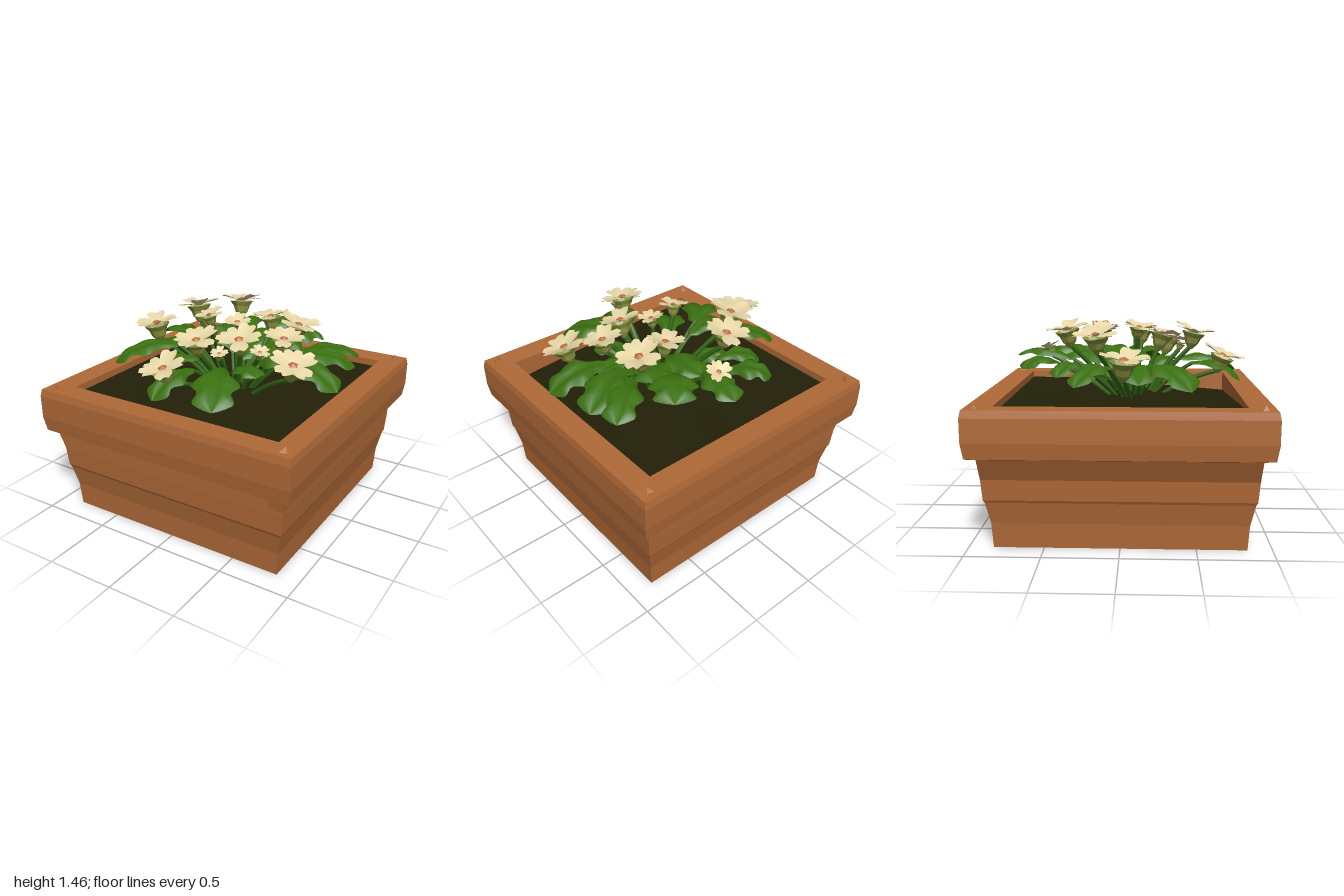
import * as THREE from 'three';

const paint = (name, color, double) => {
  const m = new THREE.MeshStandardMaterial({ color });
  m.name = name;
  if (double) m.side = THREE.DoubleSide;
  return m;
};

export function createModel() {
  const terracotta = paint('terracotta', 0xb06a38);
  const soilBrown = paint('soil', 0x222008);
  const leafGreen = paint('leaf green', 0x3b7010, true);
  const stemGreen = paint('stem green', 0x336812);
  const cream = paint('petal cream', 0xeadaaa, true);
  const olive = paint('calyx olive', 0x8e9842, true);
  const amber = paint('flower centre', 0xc0703c);

  const model = new THREE.Group();
  model.name = 'flowerPlanter';
  const add = (parent, name, geometry, material) => {
    const mesh = new THREE.Mesh(geometry, material);
    mesh.name = name;
    parent.add(mesh);
    return mesh;
  };
  const flat = (g) => {
    const f = g.toNonIndexed();
    f.computeVertexNormals();
    return f;
  };

  // Curved sheet: point(s, t) with s from -1 to 1 across and t from 0 to 1 along
  const sheet = (cols, rows, point) => {
    const g = new THREE.PlaneGeometry(2, 1, cols, rows);
    const p = g.attributes.position;
    for (let i = 0; i < p.count; i++) {
      const v = point(p.getX(i), p.getY(i) + 0.5);
      p.setXYZ(i, v[0], v[1], v[2]);
    }
    g.computeVertexNormals();
    return g;
  };

  // Square pot: half-width and height of each ring
  const profile = [
    [0, 0], [0.835, 0], [0.845, 0.17], [0.875, 0.32], [0.885, 0.34], [0.895, 0.48], [0.9, 0.63],
    [0.975, 0.635], [0.99, 0.74], [0.99, 0.9], [0.98, 0.95], [0.815, 0.945], [0.815, 0.76],
  ].map(([w, y]) => new THREE.Vector2(w * Math.SQRT2, y));
  const pot = new THREE.LatheGeometry(profile, 4);
  pot.rotateY(Math.PI / 4);
  // The wall on one side flares out to meet the rim
  const ring = pot.attributes.position;
  for (let i = 0; i < ring.count; i++) {
    if (ring.getX(i) < -0.8 && Math.abs(ring.getY(i) - 0.63) < 0.002) ring.setX(i, -0.965);
  }
  add(model, 'pot', flat(pot), terracotta);

  // Uneven soil surface, sinking towards the front left corner
  const soil = sheet(16, 16, (s, t) => {
    const z = 2 * t - 1;
    const dip = Math.max(0, (s + z) / 2 - 0.2);
    const ripple = 0.015 * (1 - s * s) * (1 - z * z) * Math.sin(5 * s + 3 * z);
    return [s * 0.815, 0.895 + ripple - 0.13 * dip, z * 0.815];
  });
  soil.index.array.reverse();
  soil.computeVertexNormals();
  add(model, 'soil', soil, soilBrown);

  // Worn chips on the rim corners and two brackets beneath it
  for (const x of [-1, 1]) {
    for (const z of [-1, 1]) {
      const chip = add(model, 'rimChip', flat(new THREE.ConeGeometry(0.05, 0.04, 4)), terracotta);
      chip.position.set(x * 0.91, 0.963, z * 0.91);
      chip.scale.z = 0.6;
      chip.rotation.y = (x * z * Math.PI) / 4;
    }
  }
  for (const side of [-1, 1]) {
    const bracket = new THREE.CylinderGeometry(0.09, 0.03, 0.27, 4);
    bracket.rotateY(Math.PI / 4);
    add(model, 'cornerBracket', flat(bracket), terracotta)
      .position.set(side * 0.85, 0.495, side * 0.85);
  }

  // Stem curving from the middle of the soil to a given point
  const stem = (name, end, radius) => {
    const start = new THREE.Vector3(0.04 + end.x * 0.28, 0.86, 0.05 + end.z * 0.28);
    const mid = start.clone().lerp(end, 0.5);
    mid.y += 0.05;
    const path = new THREE.QuadraticBezierCurve3(start, mid, end);
    add(model, name, new THREE.TubeGeometry(path, 6, radius, 5), stemGreen);
  };

  // Leaves: start x, z; tip x, z; start and tip height; half-width
  const leaves = [
    [-0.12, -0.46, -0.34, -0.7, 1.13, 1.12, 0.13],
    [-0.2, -0.3, -0.48, -0.45, 1.12, 1.08, 0.11],
    [0.02, -0.35, 0.11, -0.81, 1.14, 1.17, 0.13],
    [0.18, -0.25, 0.42, -0.58, 1.14, 1.16, 0.18],
    [0.38, 0, 0.85, -0.24, 1.15, 1.09, 0.17],
    [0.42, -0.12, 0.79, -0.45, 1.14, 1.1, 0.14],
    [0.46, 0.1, 0.9, 0.17, 1.16, 1.05, 0.16],
    [0.12, 0.38, 0.35, 0.84, 1.14, 1.03, 0.17],
    [-0.03, 0.48, -0.11, 0.85, 1.13, 1.01, 0.13],
    [-0.38, 0.14, -0.75, 0.46, 1.15, 1.03, 0.15],
    [-0.16, 0.2, -0.45, 0.51, 1.1, 1.01, 0.13],
    [-0.42, -0.08, -0.78, -0.3, 1.14, 1.06, 0.12],
    [-0.26, 0.07, -0.68, 0.12, 1.12, 1.06, 0.13],
    [0.08, 0.04, 0.08, -0.45, 1.08, 1.17, 0.17],
    [0.1, 0, 0.38, -0.32, 1.06, 1.17, 0.19],
    [0.16, 0.05, 0.58, 0.06, 1.06, 1.14, 0.14],
    [0.1, 0.18, 0.4, 0.36, 1.04, 1.11, 0.11],
    [-0.06, -0.15, -0.32, -0.27, 1.04, 1.11, 0.1],
  ];
  for (const [x0, z0, x1, z1, y0, y1, w] of leaves) {
    const length = Math.hypot(x1 - x0, z1 - z0);
    const dx = (x1 - x0) / length, dz = (z1 - z0) / length;
    // Lobed outline, raised on both sides of a sunken midrib
    const leaf = sheet(8, 16, (s, t) => {
      const lobe = 0.83 + 0.17 * Math.cos(t * Math.PI * 5);
      const half = w * lobe * Math.pow(Math.max(0, Math.sin(Math.PI * Math.pow(t, 1.05))), 0.55);
      const along = (t + 0.13 * Math.abs(s) * Math.sin(Math.PI * t)) * length;
      const y = y0 + (y1 - y0) * t + 0.055 * Math.sin(Math.PI * t)
        + 0.75 * half * Math.abs(s) - 0.95 * half * s * s;
      return [x0 + dx * along - dz * s * half, y, z0 + dz * along + dx * s * half];
    });
    add(model, 'leaf', leaf, leafGreen);
    stem('leafStalk', new THREE.Vector3(x0 + dx * 0.03, y0 + 0.005, z0 + dz * 0.03), 0.014);
  }

  // Flowers: centre x, y, z; radius; sideways tilt in x and z
  const flowers = [
    [-0.69, 1.21, 0.02, 0.16, -0.15, 0.08],
    [-0.43, 1.35, -0.18, 0.15, -0.2, -0.1],
    [-0.18, 1.37, -0.4, 0.145, -0.1, -0.2],
    [0.03, 1.23, -0.56, 0.085, 0.1, -0.45],
    [0.19, 1.35, -0.2, 0.125, -0.15, 0],
    [0.41, 1.32, -0.2, 0.145, 0.25, -0.05],
    [0.47, 1.32, 0.13, 0.13, 0.15, 0.1],
    [0.65, 1.23, 0.34, 0.145, 0.25, 0.25],
    [0.21, 1.31, 0.28, 0.145, 0.05, 0.3],
    [0.02, 1.34, 0.51, 0.14, 0, 0.22],
    [-0.11, 1.18, 0.71, 0.145, -0.1, 0.35],
    [-0.14, 1.39, 0.11, 0.1, -0.2, 0.15],
    [0.08, 1.37, 0.09, 0.09, 0.1, 0.15],
    [0.36, 1.25, 0.26, 0.065, 0.3, 0.2],
    [0.14, 1.25, 0.42, 0.06, 0.1, 0.3],
  ];
  const up = new THREE.Vector3(0, 1, 0);
  const bell = [[0.12, -0.8], [0.34, -0.5], [0.44, -0.2], [0.62, 0.05]];
  flowers.forEach(([x, y, z, r, tx, tz], n) => {
    const flower = new THREE.Group();
    flower.name = 'flower';
    const axis = new THREE.Vector3(tx, 1, tz).normalize();
    flower.position.set(x, y, z);
    flower.quaternion.setFromUnitVectors(up, axis);
    model.add(flower);

    // Five separate petals with notched tips, each lifted a little differently
    for (let i = 0; i < 5; i++) {
      const lift = 0.36 + 0.12 * Math.sin(i * 2.4 + n);
      const petal = sheet(4, 5, (s, t) => {
        const half = r * (0.1 + 0.33 * Math.sin(Math.PI * 0.64 * t));
        const reach = r * (0.06 + t * (0.86 + 0.16 * Math.sin(Math.PI * Math.abs(s))));
        return [s * half, r * (0.06 + lift * t - 0.15 * t * t + 0.07 * s * s * t), reach];
      });
      add(flower, 'petal', petal, cream).rotation.y = (i * 2 * Math.PI) / 5 + n * 0.7;
    }

    add(flower, 'flowerCentre', flat(new THREE.ConeGeometry(r * 0.24, r * 0.12, 5)), amber)
      .position.y = r * 0.21;
    const calyx = new THREE.LatheGeometry(
      bell.map(([a, b]) => new THREE.Vector2(a * r, b * r)), 8);
    add(flower, 'calyx', flat(calyx), olive);
    stem('flowerStem', new THREE.Vector3(x, y, z).addScaledVector(axis, -r * 0.7), 0.017);
  });

  return model;
}
